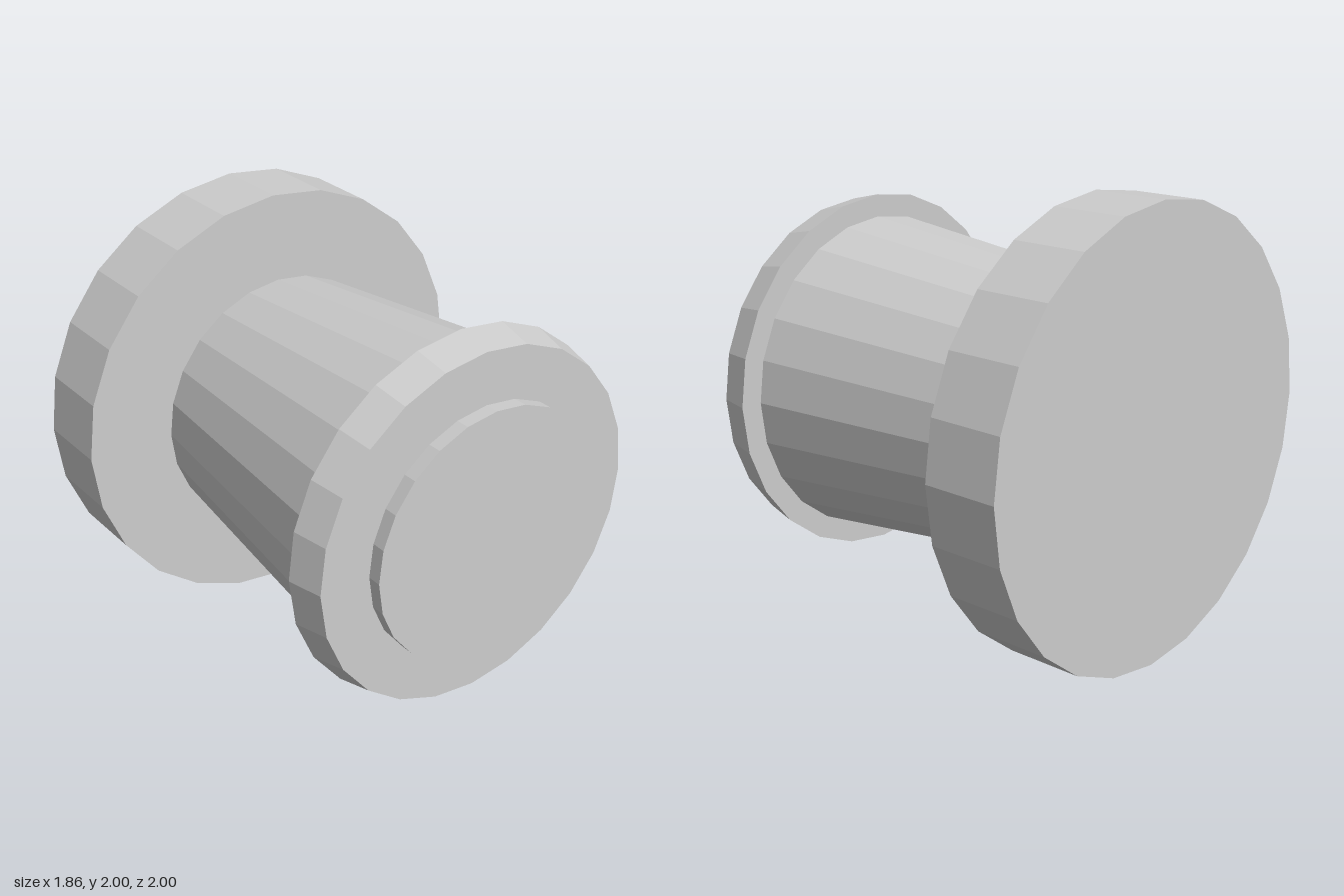
import * as THREE from 'three';

const SIDES = 24;

export function createModel() {
  const group = new THREE.Group();
  const gray = new THREE.MeshStandardMaterial({ color: 0xcccccc, flatShading: true });
  gray.name = 'light gray';

  // Turned section along x, from x0 (radius r0) to x1 (radius r1), on the axis y = 1
  function section(name, x0, x1, r0, r1 = r0) {
    const geometry = new THREE.CylinderGeometry(r1, r0, x1 - x0, SIDES);
    geometry.rotateZ(-Math.PI / 2);
    const mesh = new THREE.Mesh(geometry, gray);
    mesh.name = name;
    mesh.position.set((x0 + x1) / 2, 1, 0);
    group.add(mesh);
  }

  section('flange', -0.93, -0.58, 1);
  section('neck', -0.58, -0.56, 0.34);
  section('taperedBody', -0.56, 0.7, 0.603, 0.737);
  section('rim', 0.7, 0.858, 0.84, 0.803);
  // Short stem joining the end cap to the rim
  section('capStem', 0.858, 0.868, 0.34);
  section('endCap', 0.868, 0.93, 0.575);

  return group;
}
